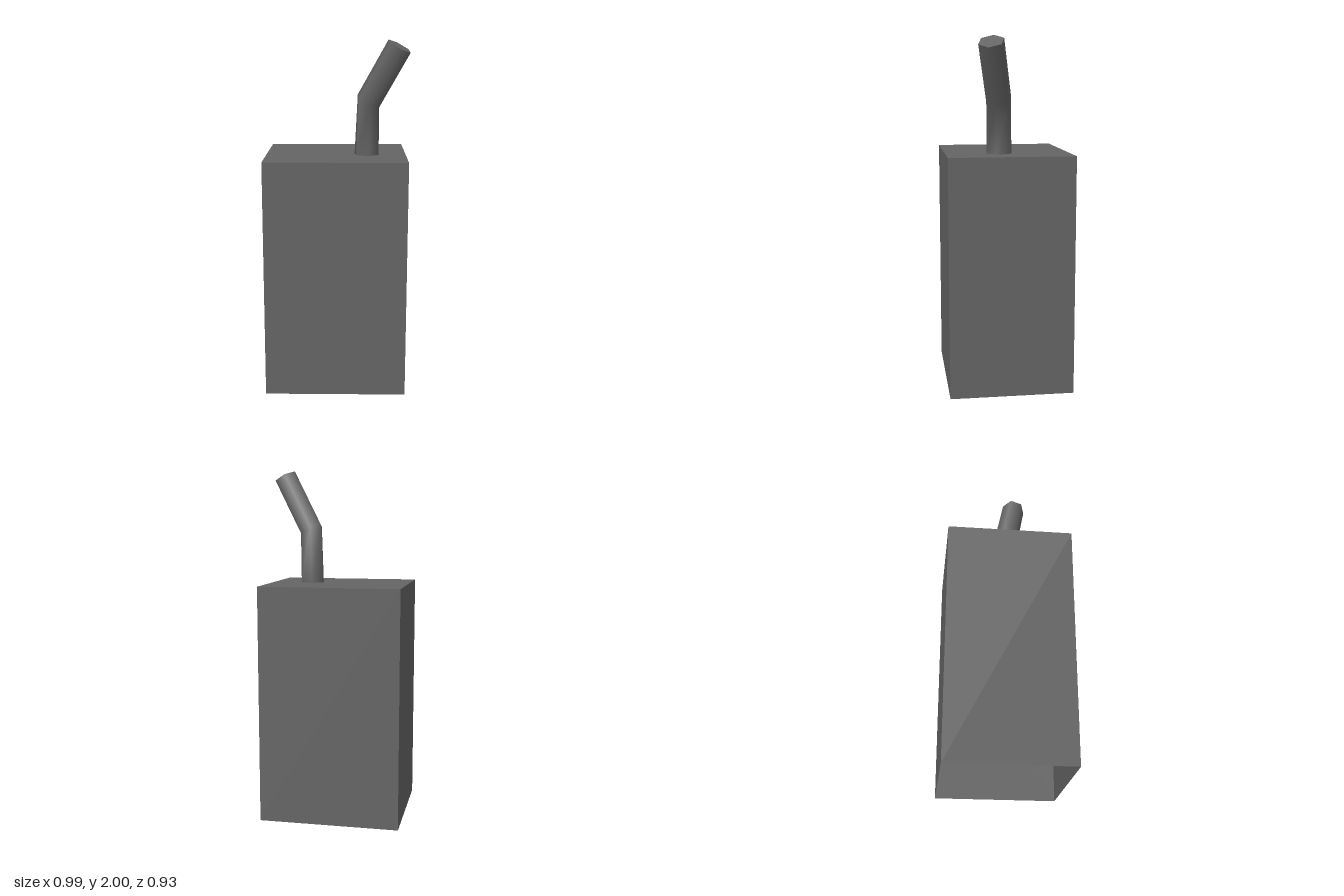
import * as THREE from 'three';

// Removes one face group (given by number) from a built-in geometry.
function dropGroup(geometry, number) {
  const { start, count } = geometry.groups[number];
  const index = Array.from(geometry.index.array);
  index.splice(start, count);
  geometry.setIndex(index);
  geometry.clearGroups();
  return geometry;
}

export function createModel() {
  const model = new THREE.Group();
  const material = new THREE.MeshStandardMaterial({ color: 0x646464, side: THREE.DoubleSide });

  // Carton: turned about its upright axis, with no bottom face
  const height = 1.35;
  const carton = new THREE.Mesh(dropGroup(new THREE.BoxGeometry(0.798, height, 0.7), 3), material);
  carton.name = 'carton';
  carton.position.y = height / 2;
  carton.rotation.y = THREE.MathUtils.degToRad(20);
  model.add(carton);

  // Straw: six-sided tube whose three rings are moved and tilted to form the bend
  const rings = [
    { x: 0.181, y: height, tilt: 0 },
    { x: 0.189, y: 1.654, tilt: 29 },
    { x: 0.368, y: 1.961, tilt: 29 },
  ];
  const tube = dropGroup(new THREE.CylinderGeometry(0.073, 0.073, 2, 6, 2, false, Math.PI / 2), 2);
  const { position, normal } = tube.attributes;
  const axis = new THREE.Vector3(0, 0, -1);
  const v = new THREE.Vector3();
  for (let i = 0; i < position.count; i++) {
    const ring = rings[Math.round(position.getY(i)) + 1];
    const angle = THREE.MathUtils.degToRad(ring.tilt);
    v.fromBufferAttribute(position, i).setY(0).applyAxisAngle(axis, angle);
    position.setXYZ(i, v.x + ring.x, v.y + ring.y, v.z - 0.016);
    v.fromBufferAttribute(normal, i).applyAxisAngle(axis, angle);
    normal.setXYZ(i, v.x, v.y, v.z);
  }
  const straw = new THREE.Mesh(tube, material);
  straw.name = 'straw';
  model.add(straw);

  return model;
}
